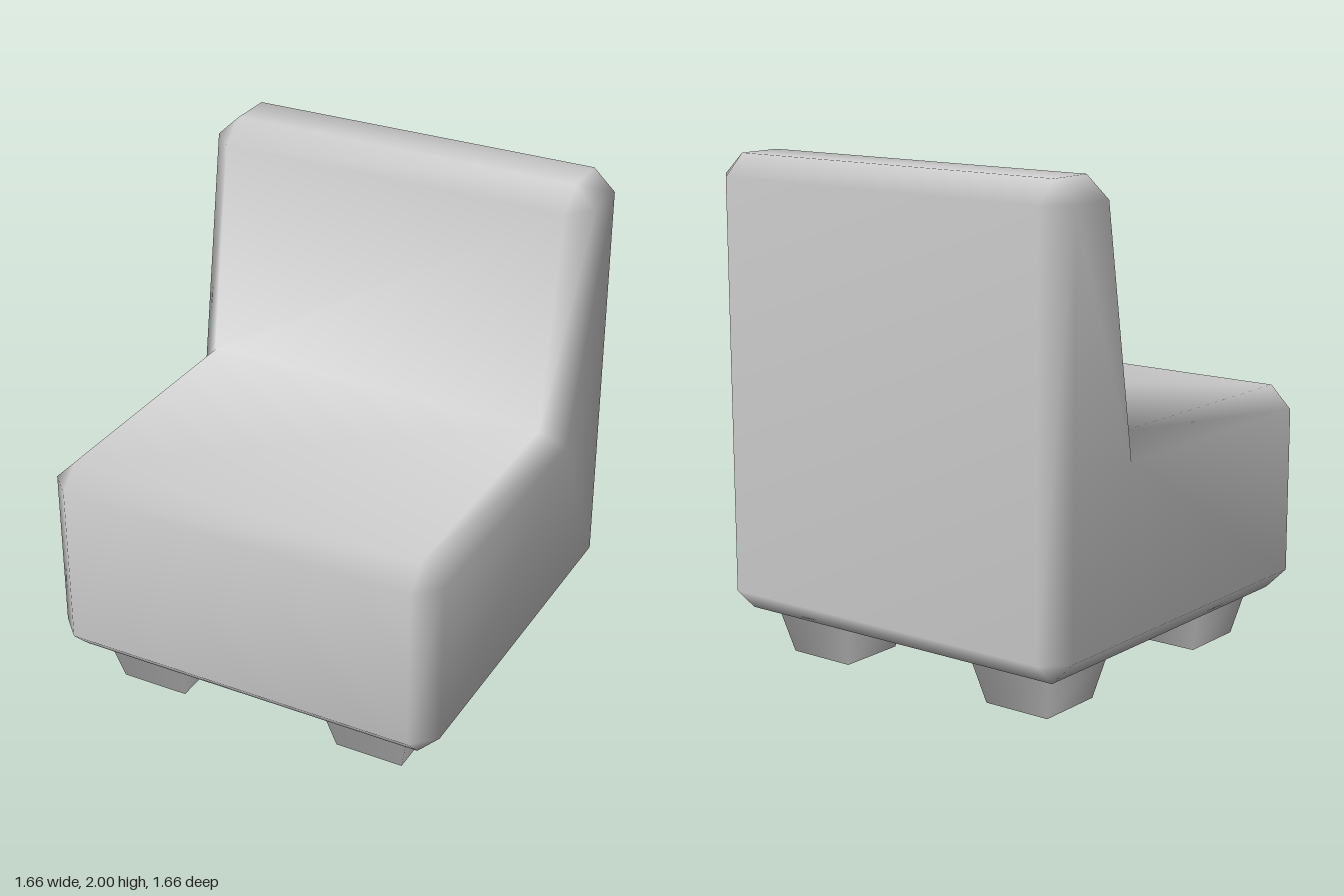
import * as THREE from 'three';
import { mergeVertices } from 'three/addons/utils/BufferGeometryUtils.js';

const material = new THREE.MeshStandardMaterial({ color: 0xcccccc });

// Corners of the L-shaped side profile as [z, y]: the inset point on the side face,
// then the two ends of the chamfer cut at that corner.
const corners = [
  [[0.74, 0.28], [0.74, 0.19], [0.83, 0.28]], // front bottom
  [[0.74, 0.95], [0.83, 0.95], [0.74, 1.04]], // front of seat
  [[-0.385, 0.95], [-0.312, 1.04], [-0.312, 1.04]], // crease of seat and backrest
  [[-0.54, 1.915], [-0.45, 1.915], [-0.55, 2.0]], // backrest top, front
  [[-0.74, 1.915], [-0.74, 2.0], [-0.83, 1.915]], // backrest top, back
  [[-0.74, 0.28], [-0.83, 0.28], [-0.74, 0.19]], // back bottom
];

// Upholstered body: four profile rings across x, closed by side caps, softly shaded
function bodyGeometry() {
  const inset = corners.flatMap(([p]) => [p, p]);
  const outer = corners.flatMap(([, a, b]) => [a, b]);
  const rings = [[-0.83, inset], [-0.74, outer], [0.74, outer], [0.83, inset]]
    .map(([x, ring]) => ring.map(([z, y]) => new THREE.Vector3(x, y, z)));
  const positions = [];
  const triangle = (a, b, c) => {
    if (a.equals(b) || b.equals(c) || c.equals(a)) return;
    for (const p of [a, b, c]) positions.push(p.x, p.y, p.z);
  };
  const n = outer.length;
  for (let k = 0; k < 3; k++) {
    for (let j = 0; j < n; j++) {
      const i = (j + 1) % n;
      triangle(rings[k][j], rings[k + 1][j], rings[k + 1][i]);
      triangle(rings[k][j], rings[k + 1][i], rings[k][i]);
    }
  }
  // Side caps fan out from the crease, which sees every other corner
  const [left, right] = [rings[3], rings[0]];
  for (let s = 1; s < 5; s++) {
    const i = ((2 + s) % 6) * 2, j = ((3 + s) % 6) * 2;
    triangle(right[4], right[i], right[j]);
    triangle(left[4], left[j], left[i]);
  }
  const geometry = new THREE.BufferGeometry();
  geometry.setAttribute('position', new THREE.Float32BufferAttribute(positions, 3));
  const merged = mergeVertices(geometry, 1e-4);
  merged.computeVertexNormals();
  return merged;
}

export function createModel() {
  const group = new THREE.Group();

  const body = new THREE.Mesh(bodyGeometry(), material);
  body.name = 'seatAndBackrest';
  group.add(body);

  // Four square legs tapering towards the floor
  const legGeometry = new THREE.CylinderGeometry(0.187 * Math.SQRT2, 0.142 * Math.SQRT2, 0.19, 4);
  legGeometry.rotateY(Math.PI / 4);
  for (const [side, x] of [['Left', 0.483], ['Right', -0.495]]) {
    for (const [end, z] of [['front', 0.493], ['back', -0.487]]) {
      const leg = new THREE.Mesh(legGeometry, material);
      leg.name = `${end}${side}Leg`;
      leg.position.set(x, 0.095, z);
      group.add(leg);
    }
  }
  return group;
}
